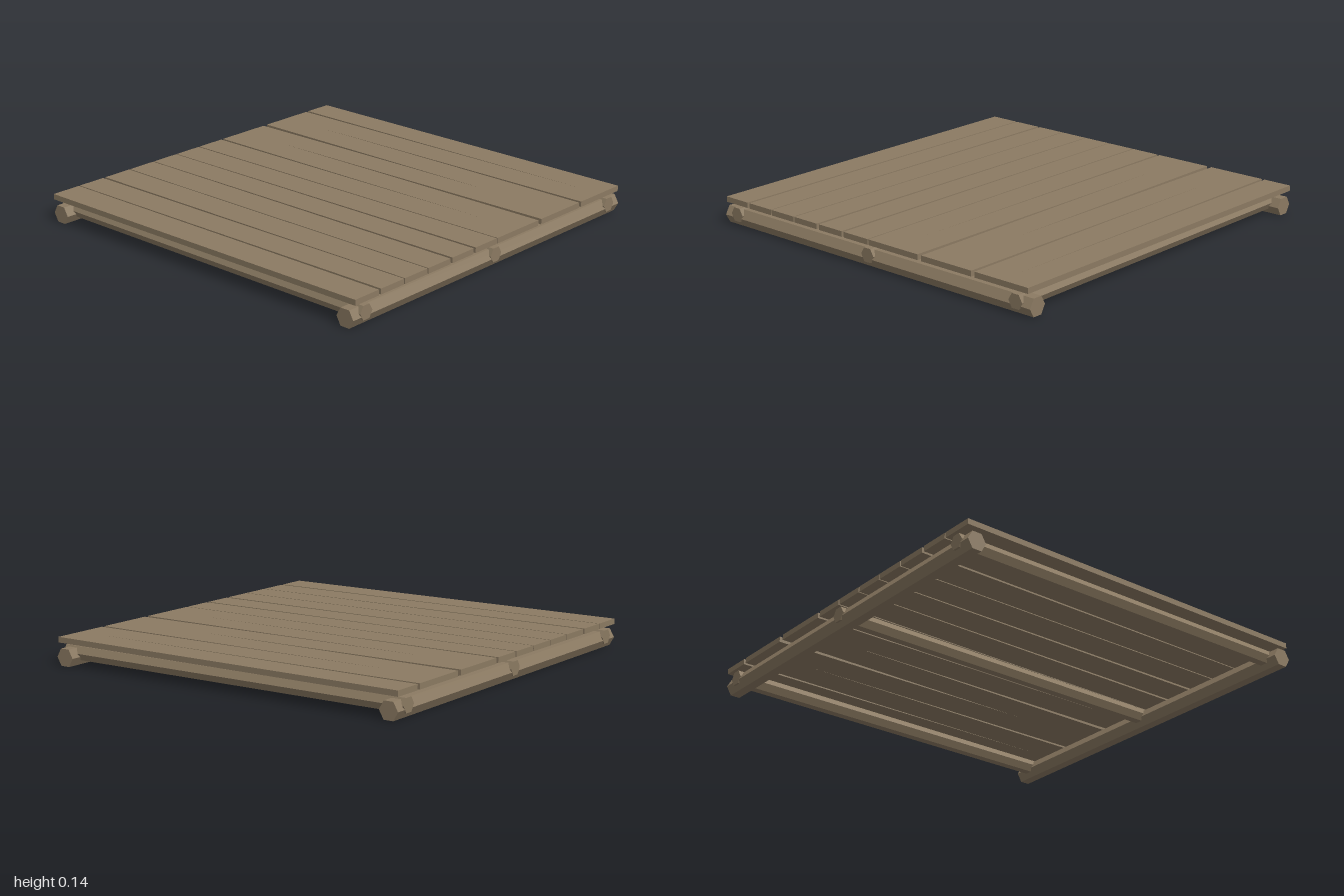
import * as THREE from 'three';

// Planks from back to front: z of [back left end, back right end, front left end, front right end], at x = -1 and x = +1
const PLANKS = [
  [-1.0, -0.989, -0.846, -0.833],
  [-0.829, -0.834, -0.669, -0.675],
  [-0.672, -0.656, -0.514, -0.494],
  [-0.487, -0.503, -0.331, -0.349],
  [-0.335, -0.325, -0.177, -0.168],
  [-0.161, -0.17, -0.001, -0.009],
  [0.007, -0.003, 0.165, 0.155],
  [0.17, 0.17, 0.327, 0.324],
  [0.333, 0.34, 0.494, 0.495],
  [0.5, 0.502, 0.662, 0.657],
  [0.677, 0.663, 0.831, 0.818],
  [0.838, 0.833, 1.0, 0.988],
];
const PLANK_BOTTOM = 0.112;
const PLANK_HEIGHT = 0.028;

// Slightly skewed board lying across the frame
function makePlank([backL, backR, frontL, frontR], material) {
  const outline = new THREE.Shape();
  outline.moveTo(-1, -frontL);
  outline.lineTo(1, -frontR);
  outline.lineTo(1, -backR);
  outline.lineTo(-1, -backL);
  outline.closePath();
  const geometry = new THREE.ExtrudeGeometry(outline, { depth: PLANK_HEIGHT, bevelEnabled: false });
  geometry.rotateX(-Math.PI / 2);
  geometry.translate(0, PLANK_BOTTOM, 0);
  return new THREE.Mesh(geometry, material);
}

// Six-sided log with flat top and bottom, running along z
function makeLog(radius, material) {
  const geometry = new THREE.CylinderGeometry(radius, radius, 2, 6);
  geometry.rotateY(Math.PI / 6);
  geometry.rotateX(Math.PI / 2);
  geometry.rotateZ(Math.PI / 6);
  // Settle the hexagon so that its corners point sideways
  const p = geometry.attributes.position;
  let top = 0;
  for (let i = 0; i < p.count; i++) top = Math.max(top, p.getY(i));
  if (top > radius * 0.95) geometry.rotateZ(Math.PI / 6);
  return new THREE.Mesh(geometry, material);
}

export function createModel() {
  const model = new THREE.Group();
  model.name = 'woodenPlatform';
  const wood = new THREE.MeshStandardMaterial({ color: 0x8b7a62, flatShading: true });
  wood.name = 'weathered wood';

  // Deck boards
  const deck = new THREE.Group();
  deck.name = 'deck';
  PLANKS.forEach((edges, i) => {
    const plank = makePlank(edges, wood);
    plank.name = `plank${i + 1}`;
    deck.add(plank);
  });
  model.add(deck);

  // Thick logs on the ground, one along each side
  for (const side of [-1, 1]) {
    const log = makeLog(0.05, wood);
    log.name = side > 0 ? 'leftSideLog' : 'rightSideLog';
    log.position.set(side * 0.95, 0.0433, 0);
    model.add(log);
  }

  // Thinner logs running across them
  [['back', -0.915], ['middle', 0], ['front', 0.915]].forEach(([name, z]) => {
    const log = makeLog(0.04, wood);
    log.name = `${name}CrossLog`;
    log.rotation.y = Math.PI / 2;
    log.position.set(0, 0.06, z);
    model.add(log);
  });

  return model;
}
